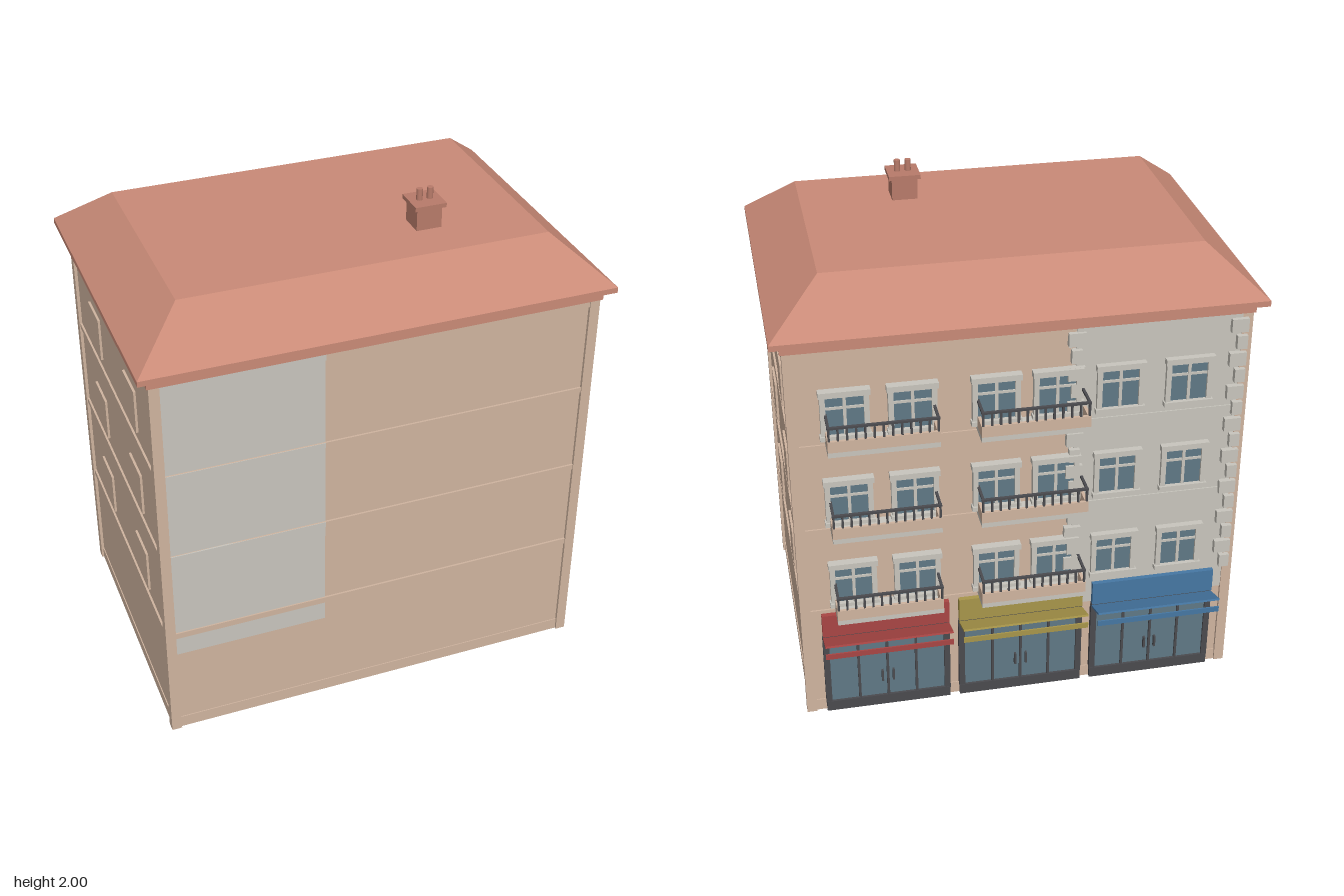
import * as THREE from 'three';

const mat = (name, color) => {
  const m = new THREE.MeshStandardMaterial({ color });
  m.name = name;
  return m;
};

export function createModel() {
  const plaster = mat('beige plaster', 0xcfb49f), stone = mat('grey stone', 0xc8c5bd);
  const tile = mat('roof tile', 0xc98a77), brick = mat('chimney brick', 0xb87b6a);
  const glass = mat('blue glass', 0x5f7885), dark = mat('dark metal', 0x4a4a4e);
  const red = mat('red paint', 0xa94644), yellow = mat('yellow paint', 0xa8964a), blue = mat('blue paint', 0x4677a3);

  const model = new THREE.Group();
  const group = (name, parent = model) => {
    const g = new THREE.Group();
    g.name = name;
    parent.add(g);
    return g;
  };
  // Box given by its limits on each axis
  const box = (parent, name, material, x0, x1, y0, y1, z0, z1) => {
    const m = new THREE.Mesh(new THREE.BoxGeometry(x1 - x0, y1 - y0, z1 - z0), material);
    m.position.set((x0 + x1) / 2, (y0 + y1) / 2, (z0 + z1) / 2);
    m.name = name;
    parent.add(m);
    return m;
  };

  // Main walls, corner posts and floor bands
  const body = group('body');
  box(body, 'walls', plaster, -0.858, 0.858, 0, 1.62, -0.548, 0.618);
  for (const [x0, x1] of [[-0.87, -0.83], [0.83, 0.87]])
    for (const [z0, z1] of [[-0.56, -0.52], [0.59, 0.63]])
      box(body, 'cornerPost', plaster, x0, x1, 0, 1.62, z0, z1);
  for (const [y0, y1] of [[0.465, 0.49], [0.843, 0.865], [1.21, 1.232], [1.59, 1.62]])
    box(body, 'floorBand', plaster, -0.866, 0.866, y0, y1, -0.555, 0.626);
  box(body, 'baseBand', plaster, -0.862, 0.862, 0, 0.05, -0.552, 0.622);

  // Grey bay, showing on the front and back walls
  const bay = group('greyBay');
  box(bay, 'greyFrontWall', stone, -0.83, -0.22, 0.38, 1.62, 0.615, 0.62);
  box(bay, 'greyBackWall', stone, -0.83, -0.2, 0.38, 1.62, -0.556, -0.545);
  for (const [y0, y1] of [[0.843, 0.865], [1.21, 1.232], [1.59, 1.62]]) {
    box(bay, 'greyFrontBand', stone, -0.83, -0.22, y0, y1, 0.615, 0.628);
    box(bay, 'greyBackBand', stone, -0.83, -0.2, y0, y1, -0.561, -0.545);
  }
  // Alternating long and short quoins down both edges of the bay
  for (let i = 0; i < 16; i++) {
    const y = 0.49 + i * 0.0705, w = i % 2 ? 0.065 : 0.04;
    box(bay, 'outerQuoin', stone, -0.85, -0.85 + w, y, y + 0.055, -0.578, -0.55);
    box(bay, 'innerQuoin', stone, -0.2 - w / 2, -0.2 + w / 2, y, y + 0.055, -0.572, -0.545);
  }

  // Blind windows on the side walls
  const floors = [0, 0.374, 0.748];
  const sides = group('blindWindows');
  for (const s of [-1, 1])
    for (const dy of floors)
      for (const z of [-0.23, 0.3])
        box(sides, 'blindWindow', plaster, Math.min(s * 0.85, s * 0.867), Math.max(s * 0.85, s * 0.867),
          0.525 + dy, 0.702 + dy, z - 0.08, z + 0.08);

  // Framed windows along the back
  const addWindow = (x, dy) => {
    const g = group('window');
    g.position.set(x, dy, 0);
    box(g, 'glass', glass, -0.075, 0.075, 0.53, 0.69, -0.562, -0.55);
    for (const s of [-1, 1])
      box(g, 'jamb', stone, s * 0.08 - 0.01, s * 0.08 + 0.01, 0.52, 0.7, -0.572, -0.545);
    box(g, 'mullion', stone, -0.006, 0.006, 0.53, 0.69, -0.568, -0.55);
    box(g, 'transom', stone, -0.075, 0.075, 0.635, 0.645, -0.567, -0.55);
    box(g, 'lintel', stone, -0.095, 0.095, 0.69, 0.713, -0.582, -0.545);
    box(g, 'sill', stone, -0.095, 0.095, 0.512, 0.53, -0.58, -0.545);
  };
  for (const dy of floors)
    for (const x of [0.658, 0.41, 0.1, -0.13, -0.37, -0.635]) addWindow(x, dy);

  // Balconies with a low parapet and metal railing
  const addBalcony = (x, dy) => {
    const g = group('balcony');
    g.position.set(x, dy, 0);
    const w = 0.205, front = -0.667;
    box(g, 'slab', stone, -w, w, 0.495, 0.515, front, -0.545);
    box(g, 'frontParapet', plaster, -w, w, 0.515, 0.56, front, front + 0.012);
    box(g, 'topRail', dark, -w, w, 0.61, 0.618, front, front + 0.012);
    for (const s of [-1, 1]) {
      const e = s * (w - 0.006);
      box(g, 'sideParapet', plaster, e - 0.006, e + 0.006, 0.515, 0.56, front + 0.012, -0.588);
      box(g, 'sideRail', dark, e - 0.005, e + 0.005, 0.61, 0.618, front + 0.012, -0.55);
      box(g, 'bracket', stone, s * 0.14 - 0.015, s * 0.14 + 0.015, 0.472, 0.495, -0.615, -0.545);
    }
    for (let i = 0; i <= 12; i++) {
      const px = -w + 0.006 + i * (2 * w - 0.012) / 12;
      box(g, 'baluster', dark, px - 0.004, px + 0.004, 0.56, 0.61, front + 0.002, front + 0.01);
    }
  };
  for (const dy of floors)
    for (const x of [-0.03, 0.53]) addBalcony(x, dy);

  // Shop fronts with fascia, awning and valance
  const addShop = (name, x, paint) => {
    const g = group(name);
    g.position.x = x;
    box(g, 'shopGlass', glass, -0.23, 0.23, 0.04, 0.37, -0.558, -0.54);
    box(g, 'shopPlinth', dark, -0.25, 0.25, 0, 0.045, -0.568, -0.54);
    box(g, 'shopHead', dark, -0.25, 0.25, 0.35, 0.375, -0.566, -0.54);
    for (const px of [-0.24, -0.115, 0, 0.115, 0.24]) {
      const h = Math.abs(px) > 0.2 ? 0.012 : 0.005;
      box(g, 'shopPost', dark, px - h, px + h, 0.04, 0.36, -0.566, -0.54);
    }
    for (const s of [-1, 1])
      box(g, 'doorHandle', dark, s * 0.022 - 0.004, s * 0.022 + 0.004, 0.12, 0.17, -0.572, -0.555);
    box(g, 'fascia', paint, -0.25, 0.25, 0.375, 0.475, -0.575, -0.54);
    const awning = box(g, 'awning', paint, -0.25, 0.25, 0.376, 0.384, -0.674, -0.562);
    awning.rotation.x = 0.34;
    box(g, 'valance', paint, -0.25, 0.25, 0.34, 0.363, -0.672, -0.666);
  };
  addShop('redShop', 0.54, red);
  addShop('yellowShop', 0, yellow);
  addShop('blueShop', -0.54, blue);

  // Hipped roof with a flat top
  const roof = group('roof');
  box(roof, 'frieze', tile, -0.877, 0.877, 1.62, 1.66, -0.567, 0.637);
  box(roof, 'eaves', tile, -0.915, 0.915, 1.66, 1.682, -0.607, 0.67);
  const hip = new THREE.BoxGeometry(2, 2, 2);
  const p = hip.attributes.position;
  for (let i = 0; i < p.count; i++) {
    const top = p.getY(i) > 0, back = p.getZ(i) < 0;
    p.setXYZ(i, p.getX(i) * (top ? 0.715 : 0.915), top ? 1.853 : 1.682,
      top ? (back ? -0.41 : 0.473) : (back ? -0.607 : 0.67));
  }
  hip.computeVertexNormals();
  const slopes = new THREE.Mesh(hip, tile);
  slopes.name = 'roofSlopes';
  roof.add(slopes);

  // Chimney with two pots
  const chimney = group('chimney');
  box(chimney, 'chimneyStack', brick, 0.26, 0.36, 1.84, 1.94, 0.198, 0.298);
  box(chimney, 'chimneyCap', brick, 0.248, 0.372, 1.938, 1.955, 0.186, 0.31);
  for (const x of [0.289, 0.331]) {
    const pot = new THREE.Mesh(new THREE.CylinderGeometry(0.012, 0.012, 0.05, 16), brick);
    pot.position.set(x, 1.975, 0.248);
    pot.name = 'chimneyPot';
    chimney.add(pot);
  }
  return model;
}
